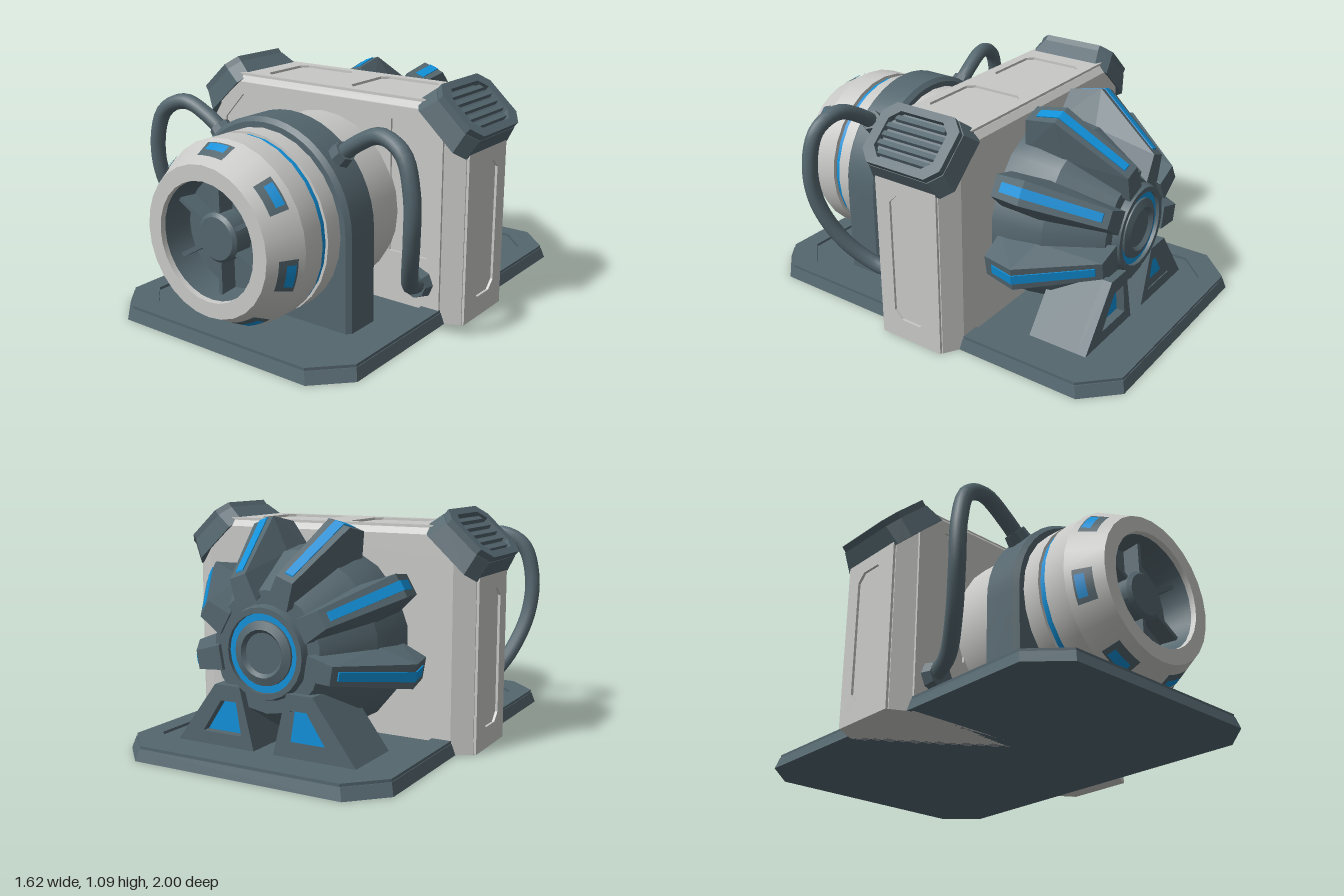
import * as THREE from 'three';
import { toCreasedNormals } from 'three/addons/utils/BufferGeometryUtils.js';
import { ConvexGeometry } from 'three/addons/geometries/ConvexGeometry.js';

const AXIS_Y = 0.49; // height of the engine axis

export function createModel() {
  const model = new THREE.Group();
  const mat = (name, color) => {
    const m = new THREE.MeshStandardMaterial({ color });
    m.name = name;
    return m;
  };
  const slate = mat('slate', 0x54666e);
  const pale = mat('pale grey', 0xc8c8c6);
  const blue = mat('blue', 0x1090d8);

  const V = (x, y, z) => new THREE.Vector3(x, y, z);
  const add = (name, geo, material, parent = model) => {
    const mesh = new THREE.Mesh(geo, material);
    mesh.name = name;
    parent.add(mesh);
    return mesh;
  };
  // Chamfered rectangle outline
  const oct = (w, h, c, cx = 0, cy = 0) => [
    [w, h - c], [w - c, h], [c - w, h], [-w, h - c], [-w, c - h], [c - w, -h], [w - c, -h], [w, c - h],
  ].map(([x, y]) => [x + cx, y + cy]);
  // Extruded outline with holes, along +z
  const plate = (outline, holes, depth) => {
    const toV2 = (pts) => pts.map(([x, y]) => new THREE.Vector2(x, y));
    const shape = new THREE.Shape(toV2(outline));
    holes.forEach((h) => shape.holes.push(new THREE.Path(toV2(h))));
    return new THREE.ExtrudeGeometry(shape, { depth, bevelEnabled: false });
  };
  // Revolved profile of [radius, z] around the engine axis
  const turned = (profile, sides = 28, start = 0, sweep = Math.PI * 2) => {
    const g = new THREE.LatheGeometry(profile.map(([r, z]) => new THREE.Vector2(r, z)), sides, start, sweep);
    g.rotateX(Math.PI / 2);
    g.translate(0, AXIS_Y, 0);
    return toCreasedNormals(g, 0.4);
  };
  // Convex loft between two horizontal outlines
  const frustum = (low, y0, high, y1) => new ConvexGeometry([
    ...low.map(([x, z]) => V(x, y0, z)), ...high.map(([x, z]) => V(x, y1, z))]);

  // Base plate with a raised border
  add('basePlate', frustum(oct(0.67, 1, 0.15), 0, oct(0.655, 0.985, 0.15), 0.053), slate);
  const border = plate(oct(0.652, 0.982, 0.15), [oct(0.56, 0.89, 0.13)], 0.014);
  border.rotateX(-Math.PI / 2).translate(0, 0.052, 0);
  add('baseBorder', border, slate);

  // Central housing with chamfered corners
  const corners = [];
  for (const s of [-1, 1]) {
    for (const [x, y, z] of [
      [0.65, 0, 0.19], [0.65, 0.87, 0.19], [0.52, 0.98, 0.19], [0.738, 0, 0.147], [0.738, 0.80, 0.147],
      [0.52, 1.008, 0.175], [0.65, 0, -0.25], [0.65, 0.87, -0.25], [0.52, 0.98, -0.25],
      [0.738, 0, -0.197], [0.738, 0.80, -0.197], [0.52, 1.008, -0.225],
    ]) corners.push(V(s * x, y, z));
  }
  add('housing', new ConvexGeometry(corners), pale);

  // Housing skins with recessed panels
  const frontHole = (s) => [[0.38, 0.30], [0.58, 0.30], [0.62, 0.34], [0.62, 0.79], [0.5, 0.92], [0.38, 0.92]]
    .map(([x, y]) => [s * x, y]);
  add('frontSkin', plate(
    [[-0.65, 0], [0.65, 0], [0.65, 0.87], [0.52, 0.98], [-0.52, 0.98], [-0.65, 0.87]],
    [frontHole(1), frontHole(-1)], 0.012).translate(0, 0, 0.189), pale);
  const topSkin = plate(oct(0.54, 0.197, 0.001, 0, 0.025),
    [oct(0.165, 0.15, 0.03, 0.25, 0.025), oct(0.165, 0.15, 0.03, -0.25, 0.025)], 0.013);
  topSkin.rotateX(-Math.PI / 2).translate(0, 1.007, 0);
  add('topSkin', topSkin, pale);
  for (const s of [-1, 1]) {
    const side = plate(oct(0.167, 0.405, 0.001, s * 0.025, 0.405), [oct(0.092, 0.315, 0.04, s * 0.025, 0.415)], 0.013);
    side.rotateY(s * Math.PI / 2).translate(s * 0.737, 0, 0);
    add('sideSkin', side, pale);
  }

  // Corner vents with slatted grilles
  for (const s of [-1, 1]) {
    const vent = new THREE.Group();
    vent.name = s > 0 ? 'leftVent' : 'rightVent';
    vent.position.set(s * 0.63, 0.91, -0.025);
    vent.rotation.z = -s * 0.74;
    model.add(vent);
    add('ventBody', frustum(oct(0.168, 0.235, 0.05), -0.02, oct(0.15, 0.213, 0.055), 0.075), slate, vent);
    const rim = plate(oct(0.148, 0.21, 0.055), [oct(0.112, 0.16, 0.045)], 0.032);
    rim.rotateX(-Math.PI / 2).translate(0, 0.074, 0);
    add('ventRim', rim, slate, vent);
    for (let i = -2; i <= 2; i++) {
      const slat = add('ventSlat', new THREE.BoxGeometry(0.024, 0.02, Math.abs(i) === 2 ? 0.27 : 0.32), slate, vent);
      slat.position.set(i * 0.042, 0.084, 0);
      slat.rotation.z = s * 0.25;
    }
  }

  // Engine barrel
  add('barrel', turned([[0.415, 0.15], [0.415, 0.45]]), pale);
  add('frontBand', turned([[0.39, 0.6], [0.415, 0.6], [0.415, 0.705], [0.39, 0.705]]), pale);
  add('grooveCore', turned([[0.397, 0.69], [0.397, 0.76]]), slate);
  add('glowRing', turned([[0.397, 0.708], [0.404, 0.708], [0.404, 0.732], [0.397, 0.732]]), blue);
  add('nose', turned([[0.38, 0.742], [0.415, 0.742], [0.415, 0.85], [0.335, 1], [0.265, 1], [0.263, 0.975]]), pale);

  // Arched saddle around the barrel
  const arch = new THREE.Shape();
  arch.moveTo(-0.46, 0.03);
  arch.lineTo(0.46, 0.03);
  arch.lineTo(0.46, AXIS_Y);
  arch.absarc(0, AXIS_Y, 0.46, 0, Math.PI, false);
  const saddle = new THREE.ExtrudeGeometry(arch, {
    depth: 0.16, bevelThickness: 0.02, bevelSize: 0.02, bevelOffset: -0.02, bevelSegments: 1, curveSegments: 12,
  });
  add('saddle', toCreasedNormals(saddle.translate(0, 0, 0.44), 0.4), slate);

  // Intake bowl, hub and spokes
  add('intakeBowl', turned([[0.264, 0.98], [0.25, 0.84], [0, 0.84]]), slate);
  add('intakeHub', turned([[0.11, 0.83], [0.11, 0.925], [0.095, 0.94], [0, 0.94]]), slate);
  for (let i = 0; i < 6; i++) {
    const spoke = new THREE.BoxGeometry(0.02, 0.17, 0.09).translate(0, 0.175, 0.875);
    spoke.rotateZ(i * Math.PI / 3).translate(0, AXIS_Y, 0);
    add('intakeSpoke', spoke, slate);
  }

  // Seven nose windows following the cone
  const onCone = (z, lift) => [0.415 - (z - 0.85) * 0.533 + lift, z + lift * 0.5];
  const patch = (z0, z1, half, mid, lift) =>
    turned([onCone(z0, lift), onCone(z1, lift)], 4, mid - half, half * 2);
  for (let i = 0; i < 7; i++) {
    const mid = Math.PI + i * Math.PI * 2 / 7;
    add('windowFrame', patch(0.88, 0.955, 0.19, mid, 0.004), slate);
    add('windowPane', patch(0.888, 0.925, 0.13, mid, 0.007), blue);
  }

  // Hoses with end fittings
  for (const s of [-1, 1]) {
    const path = new THREE.CatmullRomCurve3([
      [0.31, 0.79, 0.515], [0.42, 0.875, 0.52], [0.56, 0.935, 0.535], [0.68, 0.88, 0.555], [0.73, 0.72, 0.565],
      [0.72, 0.53, 0.545], [0.66, 0.34, 0.46], [0.59, 0.22, 0.34], [0.548, 0.175, 0.19],
    ].map(([x, y, z]) => V(s * x, y, z)));
    add('hose', new THREE.TubeGeometry(path, 40, 0.037, 10), slate);
    const collar = add('hoseCollar', new THREE.CylinderGeometry(0.05, 0.06, 0.07, 8).toNonIndexed(), slate);
    collar.geometry.computeVertexNormals();
    collar.position.set(s * 0.34, 0.815, 0.515);
    collar.rotation.z = -s * 0.8;
    const flange = add('hoseFlange', new THREE.CylinderGeometry(0.06, 0.075, 0.05, 8).toNonIndexed(), slate);
    flange.geometry.computeVertexNormals();
    flange.position.set(s * 0.545, 0.18, 0.222);
    flange.rotation.x = Math.PI / 2;
  }

  // Rear dome and exhaust disc
  add('rearDome', turned([[0, -0.735], [0.27, -0.735], [0.42, -0.5], [0.44, -0.35], [0.44, -0.24]], 18), slate);
  add('exhaustRim', turned([[0.175, -0.745], [0.175, -0.77], [0.2, -0.77], [0.215, -0.72]], 24), slate);
  add('exhaustGlow', turned([[0.14, -0.752], [0.178, -0.752]], 24), blue);
  add('exhaustCap', turned([[0, -0.758], [0.09, -0.758], [0.105, -0.775], [0.142, -0.762], [0.145, -0.73]], 24), slate);

  // Six tapered ribs with glowing strips
  const rib = (sections) => {
    const pts = [];
    for (const [z, r, w] of sections) pts.push(V(-w, r, z), V(w, r, z));
    return new ConvexGeometry(pts);
  };
  for (const deg of [20, 60, 100, -20, -60, -100]) {
    const holder = new THREE.Group();
    holder.name = 'ribAssembly';
    holder.position.y = AXIS_Y;
    holder.rotation.z = -deg * Math.PI / 180;
    model.add(holder);
    add('rib', rib([[-0.29, 0.545, 0.05], [-0.45, 0.577, 0.056], [-0.77, 0.345, 0.042],
      [-0.28, 0.4, 0.085], [-0.48, 0.4, 0.09], [-0.77, 0.22, 0.055]]), slate, holder);
    add('ribStrip', rib([[-0.33, 0.557, 0.023], [-0.45, 0.582, 0.023], [-0.745, 0.369, 0.02],
      [-0.33, 0.55, 0.023], [-0.745, 0.36, 0.02]]), blue, holder);
  }

  // Rear feet with glowing windows
  for (const s of [-1, 1]) {
    const flip = (pts) => pts.map(([x, y]) => [s * x, y]);
    const outline = flip([[0.05, 0.05], [0.46, 0.05], [0.25, 0.33], [0.12, 0.33]]);
    const hole = flip([[0.115, 0.11], [0.32, 0.11], [0.22, 0.26], [0.14, 0.26]]);
    add('footFrame', plate(outline, [hole], 0.05).translate(0, 0, -0.77), slate);
    add('footBody', plate(outline, [], 0.25).translate(0, 0, -0.725), slate);
    add('footPane', plate(hole, [], 0.006).translate(0, 0, -0.73), blue);
  }

  return model;
}
